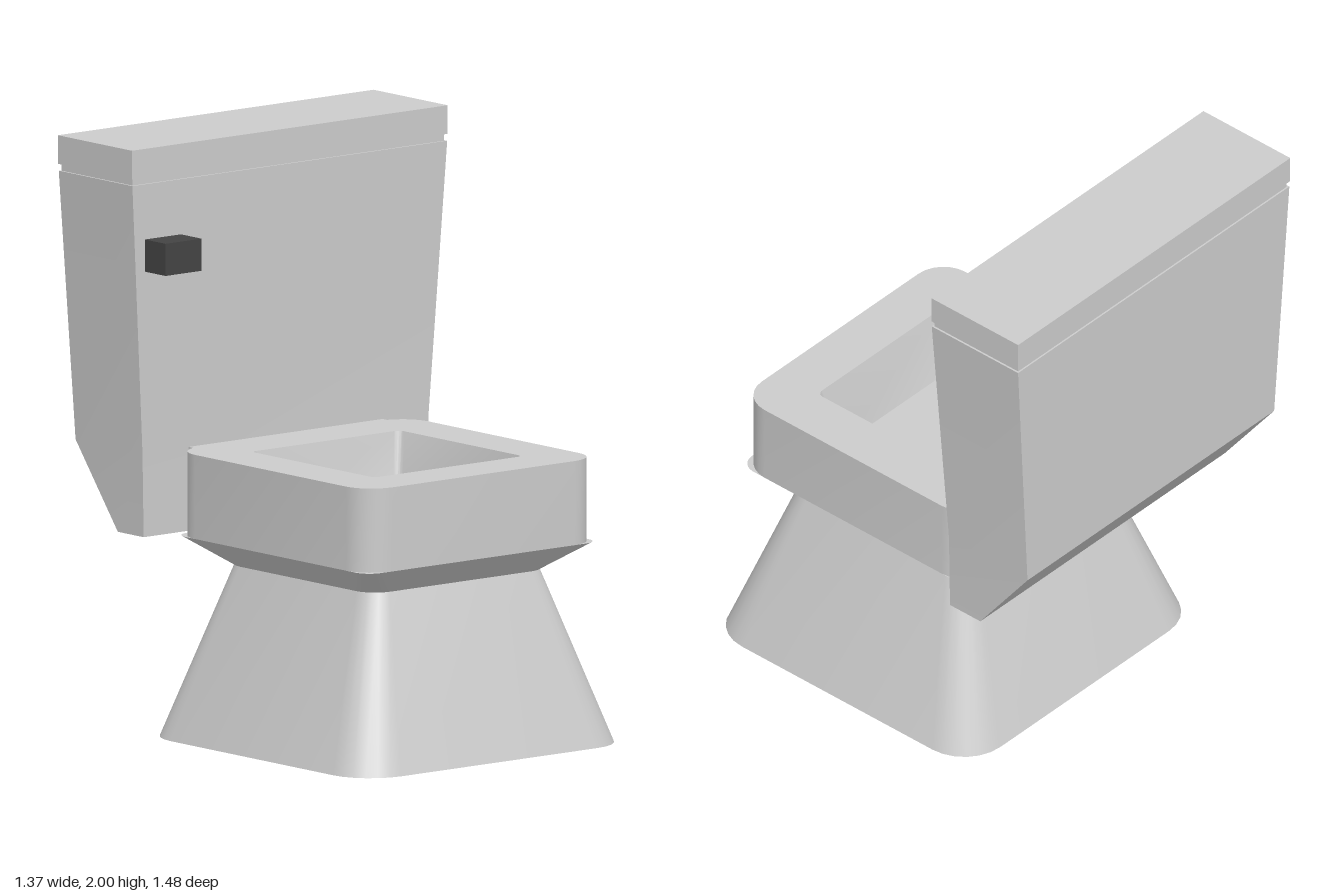
import * as THREE from 'three';
import { toCreasedNormals } from 'three/addons/utils/BufferGeometryUtils.js';

const BOWL_Z = 0.155; // centre of the bowl and pedestal

// Rounded square outline at height y, with half width h and corner radius r
function roundedRing(y, h, r) {
  const ring = [], steps = 6;
  for (let c = 0; c < 4; c++) {
    const mid = Math.PI / 4 + c * Math.PI / 2;
    const cx = Math.sign(Math.cos(mid)) * (h - r);
    const cz = Math.sign(Math.sin(mid)) * (h - r);
    for (let i = 0; i <= steps; i++) {
      const a = (c + i / steps) * Math.PI / 2;
      ring.push([cx + r * Math.cos(a), y, BOWL_Z + cz + r * Math.sin(a)]);
    }
  }
  return ring;
}

// Rectangular outline at height y
const rectRing = (y, x, front, back) => [[x, y, back], [x, y, front], [-x, y, front], [-x, y, back]];

// Skin through successive outlines
function loft(rings) {
  const pos = [];
  for (let k = 0; k < rings.length - 1; k++) {
    const lo = rings[k], up = rings[k + 1], n = lo.length;
    for (let i = 0; i < n; i++) {
      const j = (i + 1) % n;
      pos.push(...lo[i], ...up[i], ...lo[j], ...lo[j], ...up[i], ...up[j]);
    }
  }
  const g = new THREE.BufferGeometry();
  g.setAttribute('position', new THREE.Float32BufferAttribute(pos, 3));
  return toCreasedNormals(g, 0.45);
}

export function createModel() {
  const group = new THREE.Group();
  const porcelain = new THREE.MeshStandardMaterial({ color: 0xcccccc });
  porcelain.name = 'porcelain grey';
  const dark = new THREE.MeshStandardMaterial({ color: 0x444444 });
  dark.name = 'dark grey';

  const add = (name, geometry, material = porcelain) => {
    const mesh = new THREE.Mesh(geometry, material);
    mesh.name = name;
    group.add(mesh);
  };
  const box = (x0, x1, y0, y1, z0, z1) =>
    new THREE.BoxGeometry(x1 - x0, y1 - y0, z1 - z0)
      .translate((x0 + x1) / 2, (y0 + y1) / 2, (z0 + z1) / 2);

  // Flared foot, closed underneath
  add('pedestal', loft([
    roundedRing(0, 0, 0),
    roundedRing(0, 0.585, 0.16),
    roundedRing(0.585, 0.385, 0.08),
  ]));

  // Sloping underside, rim and hollow basin
  add('bowlUnderside', loft([
    roundedRing(0.585, 0.385, 0.08),
    roundedRing(0.68, 0.505, 0.06),
    roundedRing(0.68, 0.505, 0.11),
  ]));
  add('bowl', loft([
    roundedRing(0.68, 0.505, 0.11),
    roundedRing(0.965, 0.505, 0.11),
    roundedRing(0.965, 0.322, 0.025),
    roundedRing(0.74, 0.27, 0.02),
    roundedRing(0.74, 0, 0),
  ]));
  add('bowlBridge', box(-0.42, 0.42, 0.68, 0.964, -0.378, -0.34));

  // Tapered tank with a chamfered lower back
  add('tank', loft([
    rectRing(0.68, 0, -0.44, -0.44),
    rectRing(0.68, 0.615, -0.375, -0.51),
    rectRing(0.965, 0.62, -0.375, -0.725),
    rectRing(1.88, 0.682, -0.353, -0.738),
    rectRing(1.88, 0, -0.55, -0.55),
  ]));
  add('lidSeam', box(-0.675, 0.675, 1.87, 1.91, -0.732, -0.36));
  add('lid', box(-0.684, 0.684, 1.903, 2, -0.74, -0.353));

  add('flushHandle', box(-0.642, -0.486, 1.588, 1.697, -0.336, -0.228), dark);

  return group;
}
